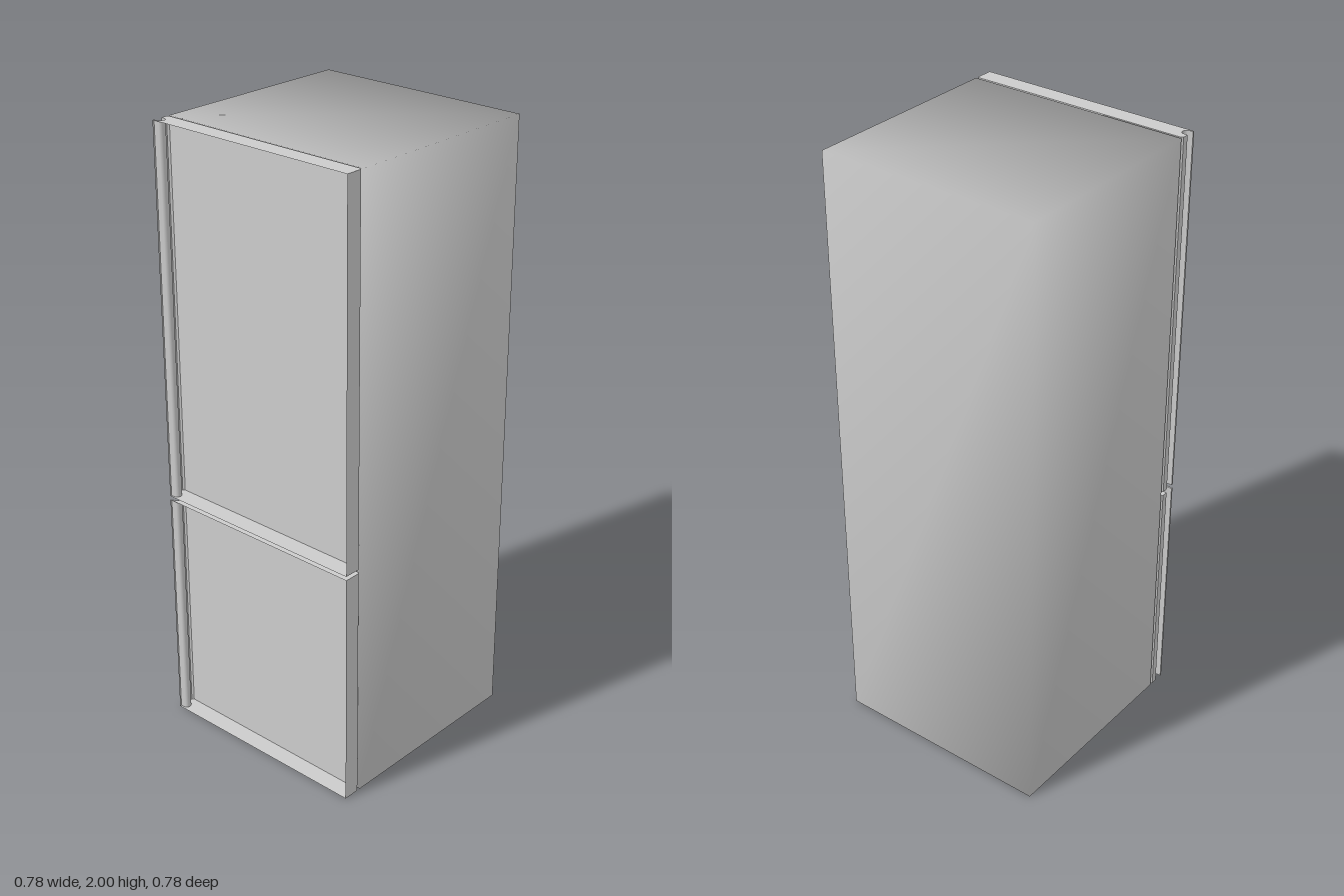
import * as THREE from 'three';
import { mergeVertices, mergeGeometries, toCreasedNormals } from 'three/addons/utils/BufferGeometryUtils.js';

const HALF_W = 0.368, HALF_D = 0.3385;
const DOOR_BACK = 0.345, DOOR_FRONT = 0.404;

// Plan outline of a door as (x, z), from the open front round the back to the grip groove
function doorOutline() {
  const pts = [
    [HALF_W, DOOR_FRONT], [HALF_W, DOOR_BACK + 0.005], [HALF_W - 0.006, DOOR_BACK],
    [-HALF_W + 0.006, DOOR_BACK], [-HALF_W, DOOR_BACK + 0.005], [-HALF_W, 0.37],
  ];
  const r = 0.014, cx = -HALF_W + 0.012, cz = 0.384;
  for (let i = 0; i <= 8; i++) {
    const a = -Math.PI / 2 + (i / 8) * Math.PI;
    pts.push([cx + r * Math.cos(a), cz + r * Math.sin(a)]);
  }
  pts.push([-HALF_W, 0.398], [-HALF_W, DOOR_FRONT]);
  return pts;
}

// Hollow door pan: vertical walls along the outline plus a floor and a roof, open at the front
function doorGeometry(y0, y1) {
  const pts = doorOutline();
  const pos = [], index = [];
  pts.forEach(([x, z], i) => {
    pos.push(x, y0, z, x, y1, z);
    if (i > 0) {
      const a = 2 * (i - 1), b = 2 * i;
      index.push(a, b, b + 1, a, b + 1, a + 1);
    }
  });
  const walls = new THREE.BufferGeometry();
  walls.setAttribute('position', new THREE.Float32BufferAttribute(pos, 3));
  walls.setIndex(index);
  walls.computeVertexNormals();

  const shape = new THREE.Shape(pts.map(([x, z]) => new THREE.Vector2(x, -z)));
  const caps = [y0, y1].map((y) => {
    const cap = new THREE.ShapeGeometry(shape);
    cap.rotateX(-Math.PI / 2).translate(0, y, 0);
    cap.deleteAttribute('uv');
    return cap.toNonIndexed();
  });
  return mergeGeometries([toCreasedNormals(walls, 0.6), ...caps]);
}

export function createModel() {
  const model = new THREE.Group();
  model.name = 'refrigerator';

  // The whole appliance stands slightly turned
  const body = new THREE.Group();
  body.name = 'turnedBody';
  body.position.z = -0.035;
  body.rotation.y = -0.054;
  model.add(body);

  // Cabinet with shared corner normals for the soft shading
  let box = new THREE.BoxGeometry(2 * HALF_W, 2, 2 * HALF_D);
  box.deleteAttribute('normal');
  box.deleteAttribute('uv');
  box = mergeVertices(box);
  box.computeVertexNormals();
  const cabinet = new THREE.Mesh(box, new THREE.MeshStandardMaterial({ color: 0xcccccc }));
  cabinet.name = 'cabinet';
  cabinet.position.y = 1;
  body.add(cabinet);

  // Two doors with grip grooves down their right edge
  const doorMaterial = new THREE.MeshStandardMaterial({ color: 0xcccccc, side: THREE.DoubleSide });
  for (const [name, y0, y1] of [['freezerDoor', 0, 0.78], ['upperDoor', 0.793, 2]]) {
    const door = new THREE.Mesh(doorGeometry(y0, y1), doorMaterial);
    door.name = name;
    body.add(door);
  }
  return model;
}
